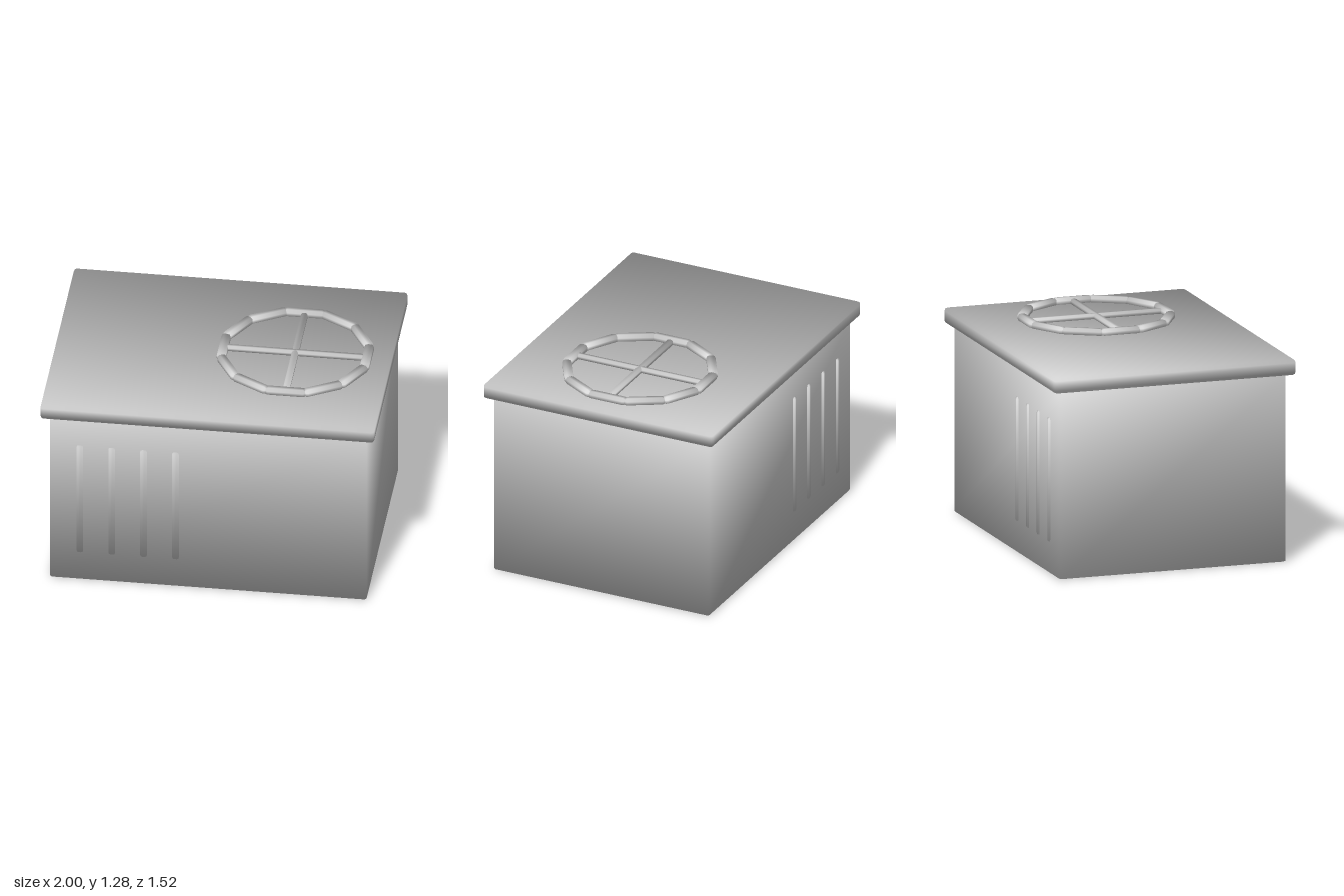
import * as THREE from 'three';
import { RoundedBoxGeometry } from 'three/addons/geometries/RoundedBoxGeometry.js';

// Box with bevelled edges; normals are shared per corner so it shades softly.
function softBox(w, h, d, bevel) {
  const geo = new RoundedBoxGeometry(w, h, d, 1, bevel);
  const pos = geo.attributes.position;
  const n = new THREE.Vector3();
  for (let i = 0; i < pos.count; i++) {
    n.set(Math.sign(pos.getX(i)), Math.sign(pos.getY(i)), Math.sign(pos.getZ(i))).normalize();
    geo.attributes.normal.setXYZ(i, n.x, n.y, n.z);
  }
  return geo;
}

export function createModel() {
  const model = new THREE.Group();
  model.name = 'ventilationUnit';
  const metal = new THREE.MeshStandardMaterial({ color: 0xcccccc });
  metal.name = 'greyMetal';

  const add = (parent, name, geo, x, y, z) => {
    const mesh = new THREE.Mesh(geo, metal);
    mesh.name = name;
    mesh.position.set(x, y, z);
    parent.add(mesh);
    return mesh;
  };

  // Housing and overhanging lid
  add(model, 'body', softBox(1.9, 1.145, 1.43, 0.014), 0, 0.5725, 0);
  add(model, 'lid', softBox(2, 0.095, 1.52, 0.018), 0, 1.1925, 0);

  // Four raised vertical slats on the front and on the back
  const slats = new THREE.Group();
  slats.name = 'slats';
  model.add(slats);
  const slatGeo = softBox(0.044, 0.76, 0.04, 0.014);
  for (const side of [1, -1]) {
    for (let i = 0; i < 4; i++) {
      add(slats, side > 0 ? 'frontSlat' : 'backSlat', slatGeo, -0.768 + i * 0.191, 0.573, side * 0.704);
    }
  }

  // Twelve-sided fan guard with crossed bars on the lid
  const guard = new THREE.Group();
  guard.name = 'fanGuard';
  guard.position.set(0.427, 1.25, 0);
  model.add(guard);
  const segmentGeo = softBox(0.24, 0.055, 0.055, 0.016);
  const radius = 0.429;
  for (let i = 0; i < 12; i++) {
    const a = (i * Math.PI) / 6;
    const segment = add(guard, 'rimSegment', segmentGeo, Math.sin(a) * radius, 0, Math.cos(a) * radius);
    segment.rotation.y = a;
  }
  add(guard, 'crossBarX', softBox(0.83, 0.04, 0.04, 0.012), 0, 0, 0);
  add(guard, 'crossBarZ', softBox(0.04, 0.04, 0.83, 0.012), 0, 0, 0);

  return model;
}
